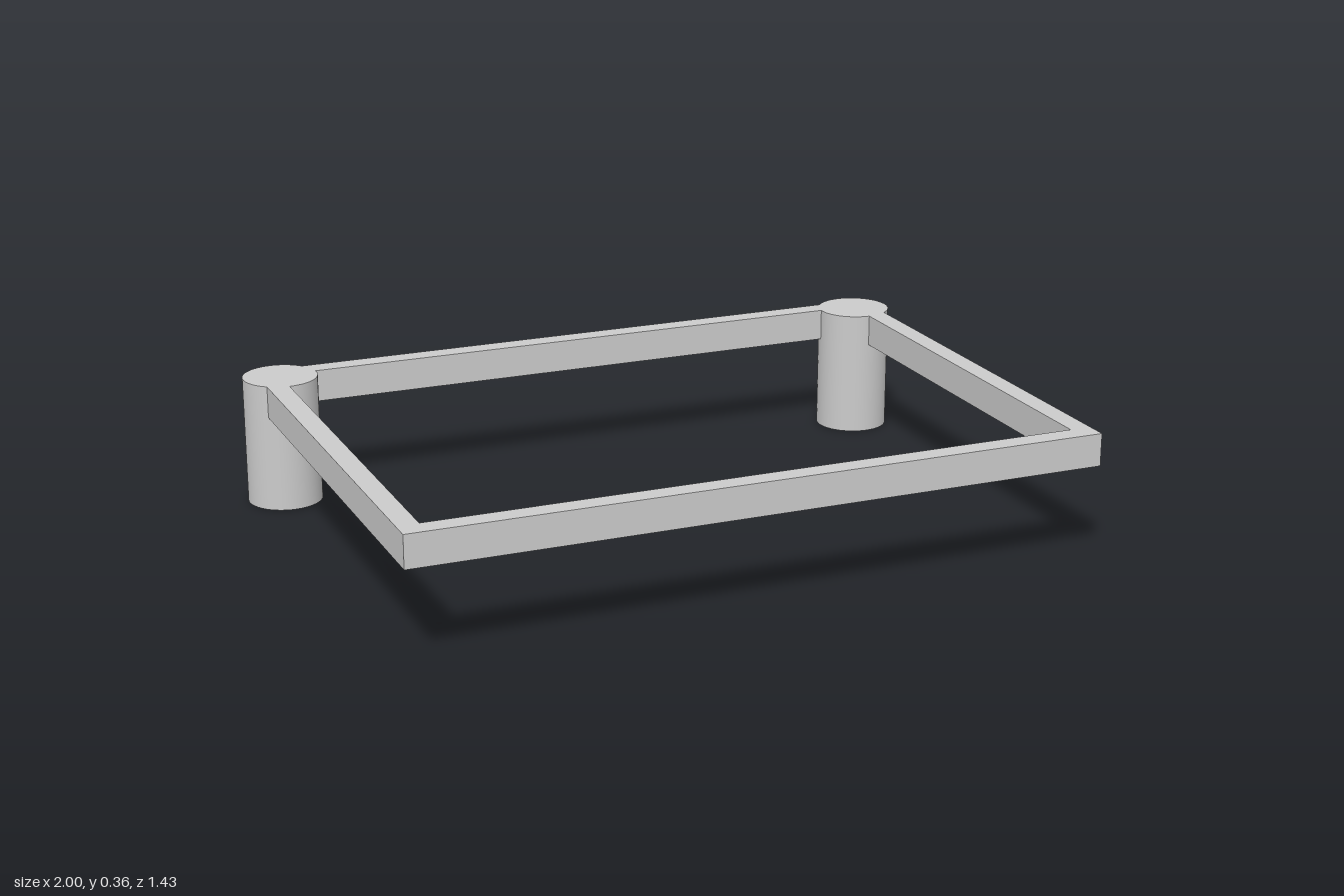
import * as THREE from 'three';

const TOP = 0.362;      // shared top of frame and legs
const FRAME_H = 0.09;
const LEG_R = 0.105;

// Adds a rectangle to a shape or path (shape y becomes -z once laid flat)
function rect(path, halfW, zBack, zFront) {
  path.moveTo(-halfW, -zFront);
  path.lineTo(halfW, -zFront);
  path.lineTo(halfW, -zBack);
  path.lineTo(-halfW, -zBack);
  path.closePath();
  return path;
}

export function createModel() {
  const group = new THREE.Group();
  const material = new THREE.MeshStandardMaterial({ color: 0xcccccc });

  // Open rectangular frame
  const outline = rect(new THREE.Shape(), 0.955, -0.675, 0.714);
  outline.holes.push(rect(new THREE.Path(), 0.896, -0.616, 0.655));
  const frameGeometry = new THREE.ExtrudeGeometry(outline, { depth: FRAME_H, bevelEnabled: false });
  frameGeometry.rotateX(-Math.PI / 2);
  const frame = new THREE.Mesh(frameGeometry, material);
  frame.name = 'frame';
  frame.position.y = TOP - FRAME_H;
  group.add(frame);

  // Round legs at the two back corners
  const legGeometry = new THREE.CylinderGeometry(LEG_R, LEG_R, TOP, 48);
  for (const side of [-1, 1]) {
    const leg = new THREE.Mesh(legGeometry, material);
    leg.name = side > 0 ? 'leftBackLeg' : 'rightBackLeg';
    leg.position.set(side * (1 - LEG_R), TOP / 2, -0.609);
    group.add(leg);
  }

  return group;
}
